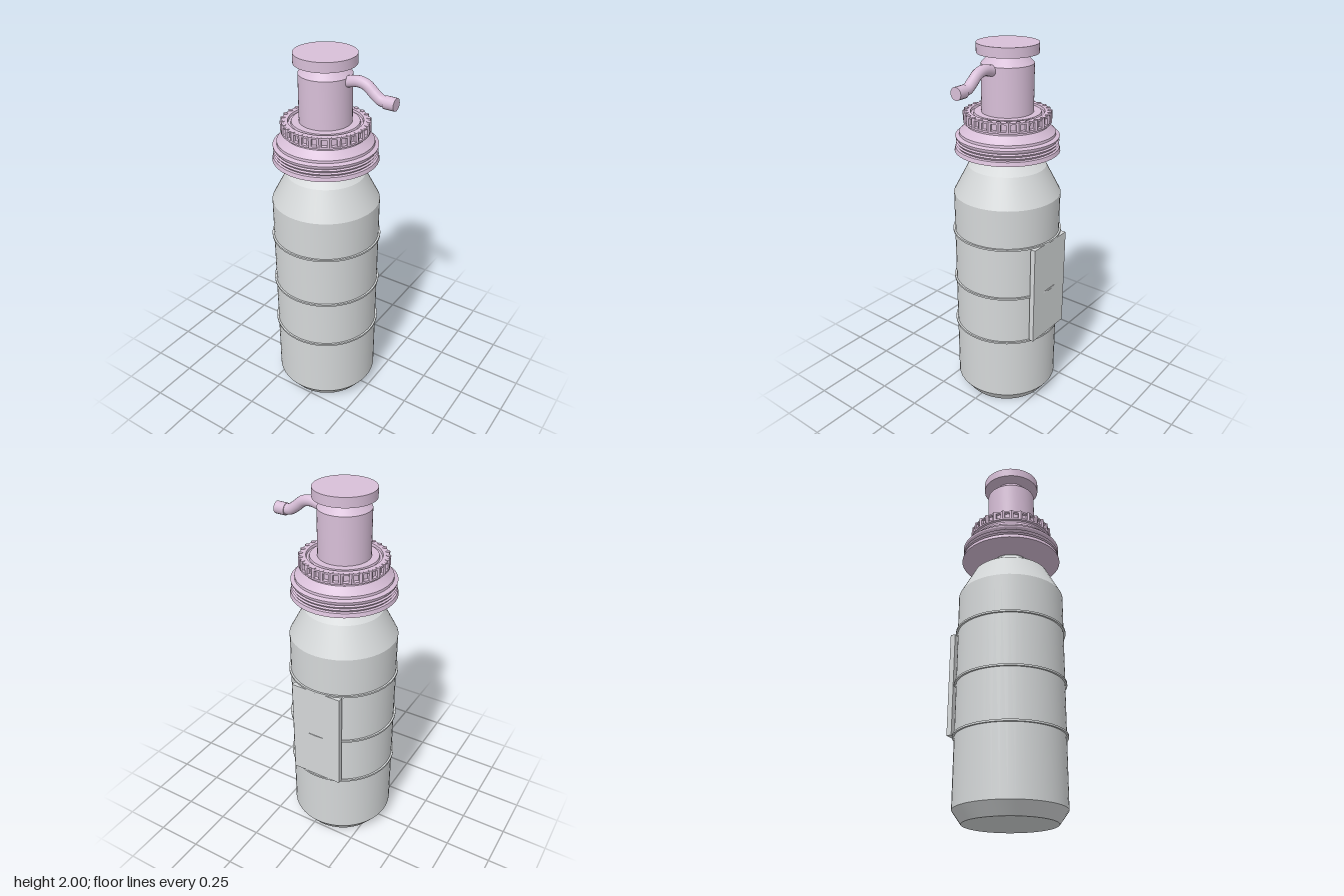
import * as THREE from 'three';
import { toCreasedNormals } from 'three/addons/utils/BufferGeometryUtils.js';

const silver = new THREE.MeshStandardMaterial({ color: 0xd4d7d8 });
silver.name = 'silver';
const mauve = new THREE.MeshStandardMaterial({ color: 0xd8bfd8 });
mauve.name = 'mauve';

function add(parent, name, geometry, material) {
  const mesh = new THREE.Mesh(geometry, material);
  mesh.name = name;
  parent.add(mesh);
  return mesh;
}

// Revolved [radius, height] profile, bottom to top, with sharp corners kept
function turned(profile, segments = 48) {
  const points = profile.map(([r, y]) => new THREE.Vector2(r, y));
  return toCreasedNormals(new THREE.LatheGeometry(points, segments), 0.3);
}

export function createModel() {
  const model = new THREE.Group();
  model.name = 'pumpBottle';

  // Everything but the spout turns around this axis
  const bottle = new THREE.Group();
  bottle.name = 'bottle';
  bottle.position.x = -0.048;
  model.add(bottle);

  // Body with bevelled foot, shoulder and neck
  add(bottle, 'body', turned([
    [0, 0], [0.238, 0], [0.285, 0.065], [0.285, 1.22],
    [0.206, 1.37], [0.1, 1.45], [0.1, 1.47], [0, 1.47],
  ]), silver);

  // Raised hoops
  for (const y of [0.43, 0.71, 1.003]) {
    add(bottle, 'hoop', turned([
      [0.28, y - 0.005], [0.295, y - 0.005], [0.295, y + 0.005], [0.28, y + 0.005],
    ]), silver);
  }

  // Flat plate on the back
  const plate = add(bottle, 'backPlate', new THREE.BoxGeometry(0.285, 0.56, 0.027), silver);
  plate.position.set(0, 0.72, -0.2765);

  // Stepped collar with a ridged band around its rim
  const ridges = [];
  for (let i = 0; i < 3; i++) {
    const y = 1.478 + i * 0.017;
    ridges.push([0.26, y], [0.268, y + 0.011]);
  }
  add(bottle, 'collar', turned([
    [0, 1.453], [0.275, 1.453], [0.27, 1.474], ...ridges,
    [0.27, 1.532], [0.25, 1.54], [0.249, 1.553], [0.235, 1.565],
    [0.213, 1.59], [0.213, 1.6], [0.226, 1.602], [0.226, 1.612], [0.209, 1.614],
    [0.209, 1.645], [0.222, 1.647], [0.222, 1.656], [0.19, 1.657],
    [0.187, 1.645], [0.175, 1.645], [0.172, 1.655], [0, 1.655],
  ]), mauve);

  // Grip studs around the collar
  const teeth = 28;
  const toothShape = new THREE.CylinderGeometry(0.0125, 0.0125, 0.052, 6).toNonIndexed();
  toothShape.computeVertexNormals();
  for (let i = 0; i < teeth; i++) {
    const a = (i / teeth) * Math.PI * 2;
    const tooth = add(bottle, 'gripStud', toothShape, mauve);
    tooth.position.set(Math.sin(a) * 0.216, 1.633, Math.cos(a) * 0.216);
    tooth.rotation.y = a;
  }

  // Pump stem, tapered top and press disc
  add(bottle, 'stem', turned([
    [0, 1.64], [0.134, 1.64], [0.134, 1.9], [0.083, 1.952], [0, 1.952],
  ]), mauve);
  add(bottle, 'pressDisc', turned([
    [0, 1.95], [0.157, 1.95], [0.157, 2], [0, 2],
  ]), mauve);

  // Curved spout and its nozzle
  const path = new THREE.CatmullRomCurve3([
    [0.05, 1.872], [0.09, 1.883], [0.14, 1.893], [0.185, 1.883],
    [0.225, 1.852], [0.26, 1.828], [0.295, 1.822],
  ].map(([x, y]) => new THREE.Vector3(x, y, 0)));
  add(model, 'spout', new THREE.TubeGeometry(path, 24, 0.028, 16), mauve);
  const nozzle = add(model, 'nozzle', new THREE.CylinderGeometry(0.032, 0.032, 0.058, 16), mauve);
  nozzle.rotation.z = -Math.PI / 2;
  nozzle.position.set(0.314, 1.822, 0);

  return model;
}
